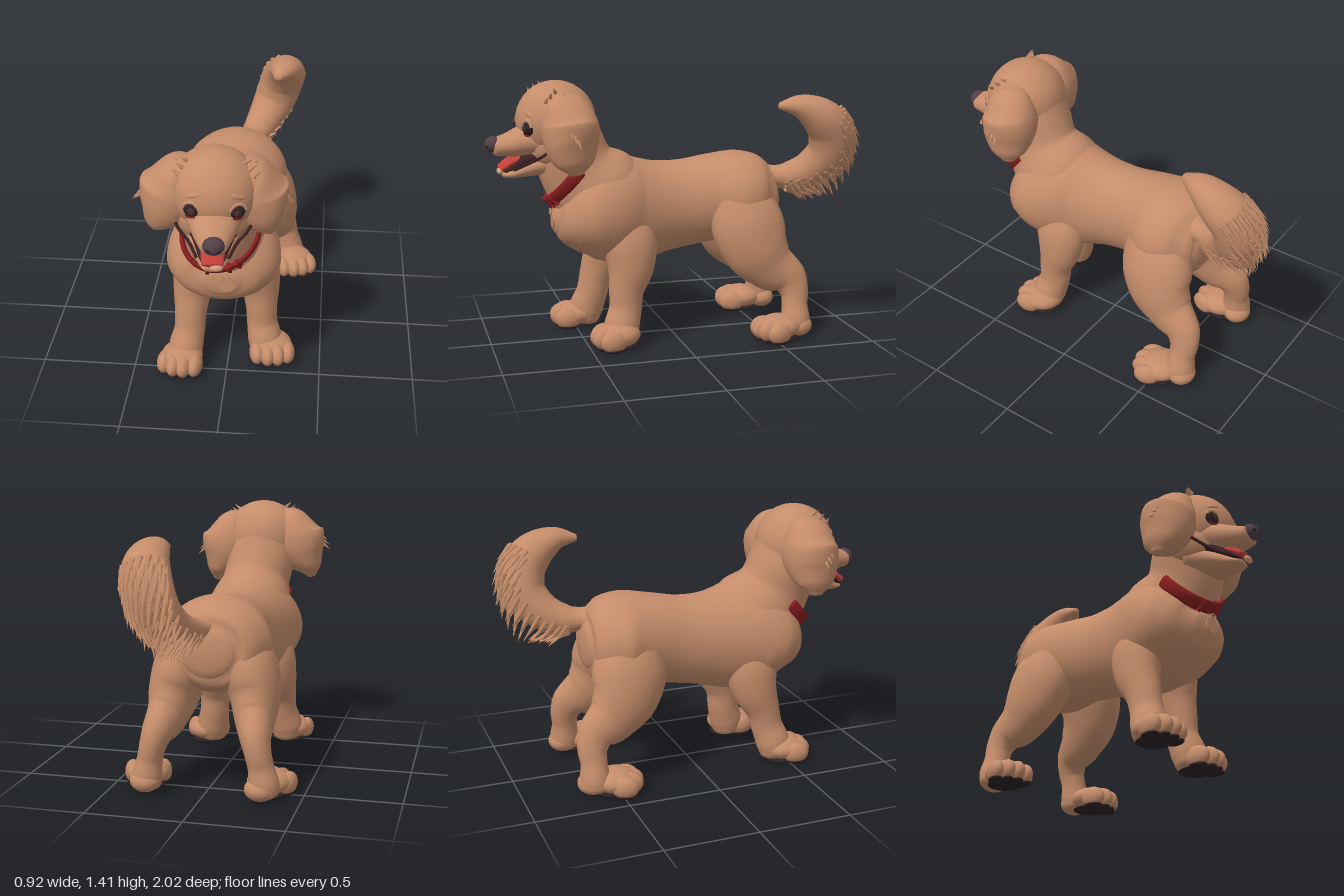
import * as THREE from 'three';
import { mergeGeometries } from 'three/addons/utils/BufferGeometryUtils.js';

const V = (x, y, z) => new THREE.Vector3(x, y, z);
const X = V(1, 0, 0), Z = V(0, 0, 1);
const mat = (name, color) => {
  const m = new THREE.MeshStandardMaterial({ color });
  m.name = name;
  return m;
};

// Smooth skin through elliptical sections [x, y, z, a, b]; a lies along ref, b across it
function loft(rows, { ref = X, n = 32, sub = 6, cap = 0.5 } = {}) {
  const path = new THREE.CatmullRomCurve3(rows.map(r => V(r[0], r[1], r[2])));
  const radii = new THREE.CatmullRomCurve3(rows.map(r => V(r[3], r[4], 0)), false, 'catmullrom', 0.5);
  const steps = (rows.length - 1) * sub, rings = [];
  const ring = (t, k = 1, shift = 0) => {
    const tan = path.getTangent(t), r = radii.getPoint(t);
    rings.push({ p: path.getPoint(t).addScaledVector(tan, shift * Math.min(r.x, r.y) * cap), tan, a: Math.max(r.x * k, 1e-4), b: Math.max(r.y * k, 1e-4) });
  };
  const q = Math.PI / 8;
  for (let i = 4; i > 0; i--) ring(0, Math.cos(i * q), -Math.sin(i * q));
  for (let i = 0; i <= steps; i++) ring(i / steps);
  for (let i = 1; i <= 4; i++) ring(1, Math.cos(i * q), Math.sin(i * q));
  const pos = [], idx = [];
  rings.forEach(({ p, tan, a, b }, i) => {
    const side = ref.clone().addScaledVector(tan, -ref.dot(tan)).normalize();
    const up = tan.clone().cross(side);
    for (let j = 0; j < n; j++) {
      const th = j / n * Math.PI * 2;
      pos.push(...p.clone().addScaledVector(side, a * Math.cos(th)).addScaledVector(up, b * Math.sin(th)).toArray());
      if (i < rings.length - 1) {
        const A = i * n + j, B = i * n + (j + 1) % n;
        idx.push(A, B, A + n, B, B + n, A + n);
      }
    }
  });
  const g = new THREE.BufferGeometry();
  g.setAttribute('position', new THREE.Float32BufferAttribute(pos, 3));
  g.setIndex(idx);
  g.computeVertexNormals();
  return g;
}

function add(parent, name, geometry, material) {
  const m = new THREE.Mesh(geometry, material);
  m.name = name;
  parent.add(m);
  return m;
}
const ball = (x, y, z, rx, ry, rz) => new THREE.SphereGeometry(1, 28, 20).scale(rx, ry, rz).translate(x, y, z);
// Pointed lock of fur growing from p along dir
const lock = (p, dir, len, r) => new THREE.ConeGeometry(r, len, 6).translate(0, len * 0.35, 0)
  .applyQuaternion(new THREE.Quaternion().setFromUnitVectors(V(0, 1, 0), dir.clone().normalize())).translate(p.x, p.y, p.z);
const group = (parent, name) => {
  const g = new THREE.Group();
  g.name = name;
  parent.add(g);
  return g;
};

export function createModel() {
  const dog = new THREE.Group();
  dog.name = 'dog';
  const fur = mat('fur', 0xc48c6a), dark = mat('darkPad', 0x2a2124), noseMat = mat('nose', 0x533f48);
  const red = mat('collarRed', 0x8a1e20), tongueMat = mat('tongue', 0xc0403a), tip = mat('tongueTip', 0xd79c7c);
  const iris = mat('iris', 0x4a3028), mouthMat = mat('mouth', 0x3a2022);

  // Torso and neck
  add(dog, 'torso', loft([
    [-0.01, 0.74, -0.578, 0.14, 0.13], [-0.01, 0.74, -0.562, 0.19, 0.18], [-0.015, 0.742, -0.5, 0.25, 0.228],
    [-0.02, 0.75, -0.38, 0.29, 0.252], [-0.035, 0.745, -0.25, 0.24, 0.242], [-0.045, 0.72, -0.1, 0.208, 0.242],
    [-0.045, 0.705, 0.05, 0.212, 0.255], [-0.035, 0.697, 0.2, 0.24, 0.29], [-0.02, 0.705, 0.35, 0.285, 0.295],
    [-0.015, 0.69, 0.47, 0.292, 0.25], [-0.012, 0.675, 0.555, 0.25, 0.185], [-0.01, 0.67, 0.605, 0.19, 0.132],
    [-0.01, 0.67, 0.638, 0.1, 0.075]], { n: 44, cap: 0.22 }), fur);
  add(dog, 'neck', loft([
    [-0.02, 0.66, 0.24, 0.2, 0.18], [-0.02, 0.8, 0.39, 0.24, 0.258], [-0.022, 0.94, 0.51, 0.194, 0.21],
    [-0.035, 1.08, 0.56, 0.2, 0.19], [-0.04, 1.22, 0.6, 0.18, 0.18]], { n: 40 }), fur);

  // Paw with four toes and dark soles
  function paw(parent, x, z, turn) {
    const p = group(parent, 'paw');
    p.position.set(x, 0, z);
    p.rotation.y = turn;
    add(p, 'pawBody', ball(0, 0.078, 0, 0.112, 0.066, 0.118), fur);
    const toes = [], pads = [ball(0, 0.018, -0.015, 0.09, 0.015, 0.09)];
    [-1.5, -0.5, 0.5, 1.5].forEach(i => {
      const tz = 0.088 - Math.abs(i) * 0.024;
      toes.push(ball(i * 0.055, 0.07 - Math.abs(i) * 0.004, tz, 0.041, 0.059, 0.072));
      pads.push(ball(i * 0.055, 0.018, tz, 0.032, 0.015, 0.054));
    });
    add(p, 'toes', mergeGeometries(toes), fur);
    add(p, 'pads', mergeGeometries(pads), dark);
  }

  // Legs; the right foreleg steps forward
  for (const s of [1, -1]) {
    const side = s > 0 ? 'left' : 'right', step = s > 0 ? 0 : 0.11;
    const fore = group(dog, side + 'Foreleg');
    add(fore, 'foreleg', loft([
      [0.1, 0.74, 0.33, 0.08, 0.1], [0.157, 0.57, 0.27 + step * 0.4, 0.112, 0.145], [0.178, 0.43, 0.265 + step * 0.6, 0.106, 0.128],
      [0.188, 0.3, 0.292 + step * 0.8, 0.086, 0.095], [0.193, 0.2, 0.3 + step * 0.95, 0.083, 0.088],
      [0.21, 0.11, 0.325 + step, 0.092, 0.095], [0.215, 0.055, 0.335 + step, 0.085, 0.085]
    ].map(r => [r[0] * s - 0.015, ...r.slice(1)])), fur);
    paw(fore, 0.238 * s - 0.004, 0.352 + step * 1.25, s * 0.12);

    const hind = group(dog, side + 'HindLeg');
    add(hind, 'hindLeg', loft([
      [0.11, 0.81, -0.34, 0.12, 0.15], [0.178, 0.635, -0.385, 0.145, 0.2], [0.214, 0.495, -0.43, 0.132, 0.185],
      [0.23, 0.395, -0.508, 0.105, 0.145], [0.255, 0.322, -0.604, 0.08, 0.104], [0.275, 0.25, -0.632, 0.068, 0.08],
      [0.29, 0.18, -0.63, 0.067, 0.071], [0.305, 0.1, -0.63, 0.078, 0.08], [0.31, 0.055, -0.625, 0.075, 0.075]
    ].map(r => [r[0] * s - 0.012, ...r.slice(1)])), fur);
    paw(hind, 0.322 * s, -0.522, s * 0.3);
    add(hind, 'heel', ball(0.3 * s, 0.07, -0.645, 0.08, 0.06, 0.075), fur);
  }

  // Curled tail with fur locks lying along its outer side
  const tailRows = [
    [0.03, 0.86, -0.52, 0.09, 0.075], [0.05, 0.86, -0.58, 0.077, 0.06], [0.07, 0.86, -0.66, 0.084, 0.079], [0.11, 0.9, -0.765, 0.1, 0.098],
    [0.17, 1.0, -0.85, 0.122, 0.115], [0.21, 1.12, -0.845, 0.125, 0.12], [0.233, 1.205, -0.77, 0.115, 0.105],
    [0.225, 1.262, -0.66, 0.08, 0.065], [0.2, 1.265, -0.555, 0.025, 0.02]];
  const tail = group(dog, 'tail');
  add(tail, 'tailBody', loft(tailRows), fur);
  const tailPath = new THREE.CatmullRomCurve3(tailRows.map(r => V(r[0], r[1], r[2])));
  const tailSize = new THREE.CatmullRomCurve3(tailRows.map(r => V(r[3], r[4], 0)));
  const locks = [];
  for (let i = 0; i < 14; i++) {
    const t = 0.24 + i * 0.034, tan = tailPath.getTangent(t), r = tailSize.getPoint(t);
    const sideV = X.clone().addScaledVector(tan, -X.dot(tan)).normalize(), up = tan.clone().cross(sideV);
    for (let j = 0; j < 8; j++) {
      const th = (j - 3.5 + (i % 2) * 0.5) * 0.34;
      const radial = sideV.clone().multiplyScalar(Math.sin(th)).addScaledVector(up, Math.cos(th));
      const p = tailPath.getPoint(t).addScaledVector(radial, r.x * 0.95);
      const dir = V(0, -0.6, -0.45);
      dir.addScaledVector(radial, 0.1 - dir.dot(radial) * 0.85);
      locks.push(lock(p, dir, (0.16 - t * 0.06) * (0.8 + 0.1 * ((i * 5 + j * 3) % 4)), 0.017));
    }
  }
  add(tail, 'tailFur', mergeGeometries(locks), fur);

  // Collar with keeper loops, and a round tag
  const collar = group(dog, 'collar'), axis = V(0, 0.64, 0.77);
  const band = f => V(-0.022 + 0.193 * Math.cos(f), 0.913 - 0.152 * Math.sin(f) + 0.03 * Math.cos(f), 0.54 + 0.128 * Math.sin(f));
  const bandRows = Array.from({ length: 17 }, (_, i) => [...band(-0.05 + i / 16 * (Math.PI + 0.1)).toArray(), 0.036, 0.014]);
  add(collar, 'band', loft(bandRows, { ref: axis, n: 16, sub: 4 }), red);
  [1.05, 1.3, 1.85].forEach(f => {
    const k = add(collar, 'keeper', new THREE.BoxGeometry(0.018, 0.072, 0.034), red);
    k.position.copy(band(f));
    k.rotation.set(0.75, 0, Math.cos(f) * 0.6);
  });
  add(collar, 'tagRing', new THREE.TorusGeometry(0.016, 0.004, 8, 20).translate(0.015, 0.718, 0.668), fur);
  add(collar, 'tag', new THREE.CylinderGeometry(0.043, 0.043, 0.009, 32).rotateX(Math.PI / 2).translate(0.015, 0.67, 0.656), fur);

  // Head, turned and tilted slightly
  const pivot = group(dog, 'head');
  pivot.position.set(-0.045, 1.17, 0.6);
  pivot.rotation.set(0, 0.1, -0.05);
  const head = group(pivot, 'headParts');
  head.position.set(0, -1.17, -0.6);
  add(head, 'skull', ball(0, 1.2, 0.62, 0.222, 0.21, 0.212), fur);
  add(head, 'cheeks', ball(0, 1.075, 0.62, 0.2, 0.15, 0.178), fur);
  add(head, 'muzzle', loft([
    [0, 1.1, 0.68, 0.165, 0.09], [0, 1.1, 0.77, 0.128, 0.086], [0, 1.08, 0.87, 0.094, 0.064], [0, 1.07, 0.945, 0.066, 0.048]]), fur);
  add(head, 'lowerJaw', loft([
    [0, 0.995, 0.65, 0.155, 0.085], [0, 0.962, 0.77, 0.104, 0.056], [0, 0.928, 0.865, 0.066, 0.027], [0, 0.922, 0.905, 0.045, 0.016]]), fur);
  add(head, 'mouth', loft([
    [0, 1.045, 0.69, 0.14, 0.04], [0, 1.012, 0.78, 0.1, 0.038], [0, 0.958, 0.875, 0.062, 0.018], [0, 0.942, 0.902, 0.047, 0.011]]), mouthMat);
  add(head, 'tongue', loft([[0, 1.02, 0.77, 0.05, 0.02], [0, 0.995, 0.86, 0.058, 0.024], [0, 0.957, 0.92, 0.052, 0.02]]), tongueMat);
  add(head, 'tongueTip', ball(0.018, 0.945, 0.928, 0.032, 0.018, 0.016), tip);
  add(head, 'nose', ball(0, 1.085, 0.957, 0.052, 0.042, 0.045), noseMat);

  for (const s of [1, -1]) {
    const side = s > 0 ? 'left' : 'right';
    add(head, 'nostril', ball(s * 0.023, 1.078, 0.99, 0.012, 0.01, 0.01), dark);
    add(head, 'lipLine', new THREE.TubeGeometry(new THREE.CatmullRomCurve3([
      V(s * 0.193, 1.075, 0.695), V(s * 0.163, 1.035, 0.74), V(s * 0.117, 1.0, 0.785), V(s * 0.073, 0.955, 0.865)]), 20, 0.008, 8), mouthMat);

    // Eye with iris, lids and red corner
    const eye = group(head, side + 'Eye');
    eye.position.set(s * 0.106, 1.177, 0.79);
    eye.rotation.y = s * 0.35;
    add(eye, 'eyeball', ball(0, 0, 0, 0.04, 0.036, 0.032), dark);
    add(eye, 'irisPlate', ball(-s * 0.006, 0, 0.026, 0.018, 0.02, 0.008), iris);
    add(eye, 'lowerRim', new THREE.TorusGeometry(0.036, 0.006, 8, 20, 1.5).rotateZ(Math.PI + 0.82).translate(0, 0, 0.014), red);
    add(eye, 'upperLid', new THREE.TorusGeometry(0.04, 0.009, 8, 20, 2.7).rotateZ(0.22).translate(0, 0.002, 0.012), fur);
    const brow = add(head, side + 'Brow', ball(0, 0, 0, 0.05, 0.018, 0.02), fur);
    brow.position.set(s * 0.1, 1.25, 0.784);
    brow.rotation.set(-0.2, s * 0.45, -s * 0.25);

    // Hanging ear, broad at the root, with ragged outer edge
    const ear = group(head, side + 'Ear');
    add(ear, 'earFlap', loft([
      [0.13, 1.32, 0.63, 0.08, 0.05], [0.175, 1.275, 0.61, 0.125, 0.095], [0.195, 1.19, 0.597, 0.148, 0.165],
      [0.232, 1.09, 0.597, 0.138, 0.135], [0.268, 1.01, 0.59, 0.1, 0.075], [0.28, 0.965, 0.585, 0.045, 0.03]
    ].map(r => [r[0] * s, ...r.slice(1)]), { ref: Z }), fur);
    const tufts = [];
    for (let i = 0; i < 9; i++) {
      const t = i / 8;
      tufts.push(lock(V(s * (0.19 + 0.16 * Math.sin(t * 1.5)), 1.345 - t * 0.2, 0.63 - 0.015 * (i % 3)),
        V(s * 0.6, -0.5, 0.12 - 0.1 * (i % 3)), 0.07, 0.013));
    }
    for (let i = 0; i < 3; i++) tufts.push(lock(V(s * (0.14 + i * 0.02), 1.365 - i * 0.02, 0.66 + i * 0.03), V(s * 0.6, 0.5, 0.3 - i * 0.2), 0.05, 0.011));
    add(ear, 'earTufts', mergeGeometries(tufts), fur);
  }
  return dog;
}
